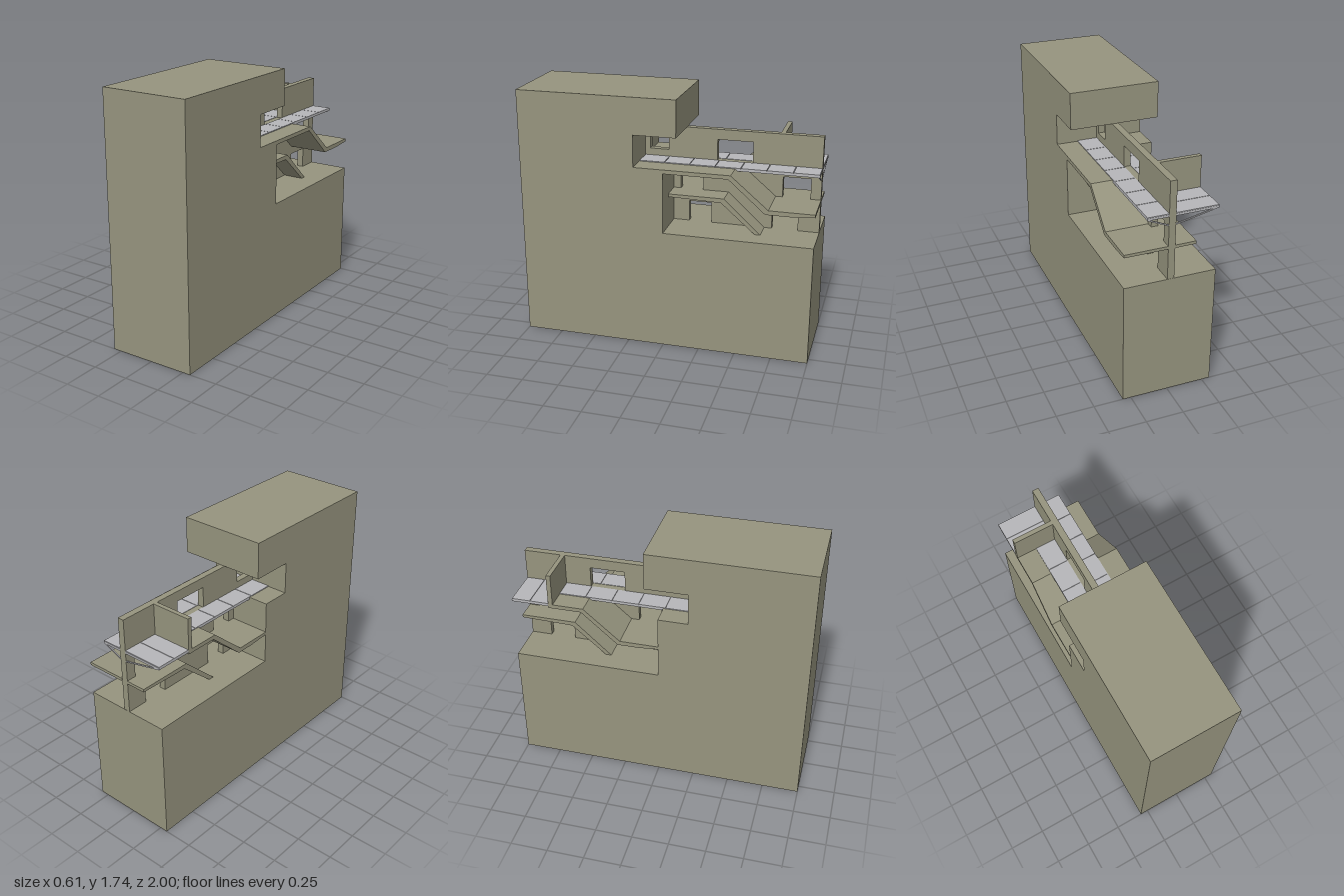
import * as THREE from 'three';

const stone = new THREE.MeshStandardMaterial({ color: 0x96947e });
stone.name = 'stone';
const deckGrey = new THREE.MeshStandardMaterial({ color: 0xb6b6b9 });
deckGrey.name = 'deck grey';

// Extrudes a side profile of [z, y] points across the width x0..x1
function slab(name, profile, x0, x1, holes = []) {
  const toPath = (pts, P) => new P(pts.map(([z, y]) => new THREE.Vector2(-z, y)));
  const shape = toPath(profile, THREE.Shape);
  for (const [za, zb, ya, yb] of holes) {
    shape.holes.push(toPath([[za, ya], [zb, ya], [zb, yb], [za, yb]], THREE.Path));
  }
  const geo = new THREE.ExtrudeGeometry(shape, { depth: x1 - x0, bevelEnabled: false });
  geo.rotateY(Math.PI / 2).translate(x0, 0, 0);
  const mesh = new THREE.Mesh(geo, stone);
  mesh.name = name;
  return mesh;
}

function box(name, x0, x1, y0, y1, z0, z1, material) {
  const mesh = new THREE.Mesh(new THREE.BoxGeometry(x1 - x0, y1 - y0, z1 - z0), material);
  mesh.position.set((x0 + x1) / 2, (y0 + y1) / 2, (z0 + z1) / 2);
  mesh.name = name;
  return mesh;
}

// Row of deck panels with narrow joints, over a thin continuous sheet
function panelDeck(name, x0, x1, z0, z1, count) {
  const deck = new THREE.Group();
  deck.name = name;
  deck.add(box('deckSheet', x0, x1, 1.258, 1.273, z0, z1, deckGrey));
  const step = (z1 - z0) / count;
  for (let i = 0; i < count; i++) {
    const a = z0 + i * step;
    deck.add(box('deckPanel', x0, x1, 1.272, 1.278, a + 0.002, a + step - 0.002, deckGrey));
  }
  return deck;
}

// Diagonal strut from the spine wall up to the outer edge of a deck
function bracket(xWall, xEdge, z) {
  const a = new THREE.Vector3(xWall, 1.2, z), b = new THREE.Vector3(xEdge, 1.258, z);
  const mesh = new THREE.Mesh(new THREE.BoxGeometry(a.distanceTo(b), 0.008, 0.008), deckGrey);
  mesh.position.copy(a).add(b).multiplyScalar(0.5);
  mesh.rotation.z = Math.atan2(b.y - a.y, b.x - a.x);
  mesh.name = 'deckBracket';
  return mesh;
}

export function createModel() {
  const model = new THREE.Group();
  model.name = 'cliffBuilding';
  const W = 0.305, L = -0.025, R = 0.02;

  // Solid mass with terrace, recess and overhang
  model.add(slab('mainBlock', [
    [1, 0], [-1, 0], [-1, 0.83], [0, 0.83], [0, 1.272], [0.2, 1.272],
    [0.2, 1.49], [-0.09, 1.49], [-0.09, 1.74], [1, 1.74],
  ], -W, W));

  // Spine wall pierced by openings on every level
  model.add(slab('spineWall', [
    [0.21, 1.26], [0.01, 1.26], [0.01, 0.8], [-0.999, 0.8], [-0.999, 1.49], [0.21, 1.49],
  ], L, R, [
    [0.165, 0.035, 1.325, 1.445],
    [-0.3, -0.54, 1.275, 1.42],
    [-0.05, -0.205, 1.06, 1.2],
    [-0.745, -0.93, 1.06, 1.2],
    [-0.11, -0.265, 0.83, 0.972],
    [-0.68, -0.855, 0.83, 0.972],
  ]));
  model.add(box('crossWall', -W, L, 1.245, 1.49, -0.745, -0.715, stone));

  // Lower and upper ramps, the far side reversed end for end
  const lower = [
    [0, 1.06], [0, 1.04], [-0.36, 1.03], [-0.59, 0.83], [-0.63, 0.83], [-0.38, 1.06],
  ];
  const upper = [
    [0, 1.272], [0, 1.245], [-0.435, 1.245], [-0.68, 1.03], [-0.86, 1.03],
    [-1, 1.04], [-1, 1.06], [-0.7, 1.06], [-0.45, 1.272],
  ];
  const upperReversed = [
    [-0.745, 1.272], [-0.745, 1.245], [-0.52, 1.245], [-0.275, 1.03], [-0.14, 1.03],
    [0, 1.04], [0, 1.06], [-0.26, 1.06], [-0.505, 1.272],
  ];
  const reversed = lower.map(([z, y]) => [-1 - z, y]);
  model.add(slab('lowerRampRight', lower, R, 0.165));
  model.add(slab('lowerRampLeft', reversed, -0.165, L));
  model.add(slab('upperRampRight', upper, R, W));
  model.add(slab('upperRampLeft', upperReversed, -W, L));

  // Panelled walkways on the top level
  model.add(panelDeck('walkwayRight', R, 0.16, -1, 0.2, 7));
  model.add(panelDeck('walkwayLeft', -0.165, L, -0.715, 0.2, 5));
  model.add(panelDeck('rearBalcony', -W, L, -1, -0.745, 2));

  // Struts below the walkways
  for (const z of [-0.006, -0.345, -0.994]) {
    model.add(bracket(R, 0.155, z));
    model.add(bracket(L, z < -0.9 ? -0.29 : -0.16, z));
  }
  return model;
}
